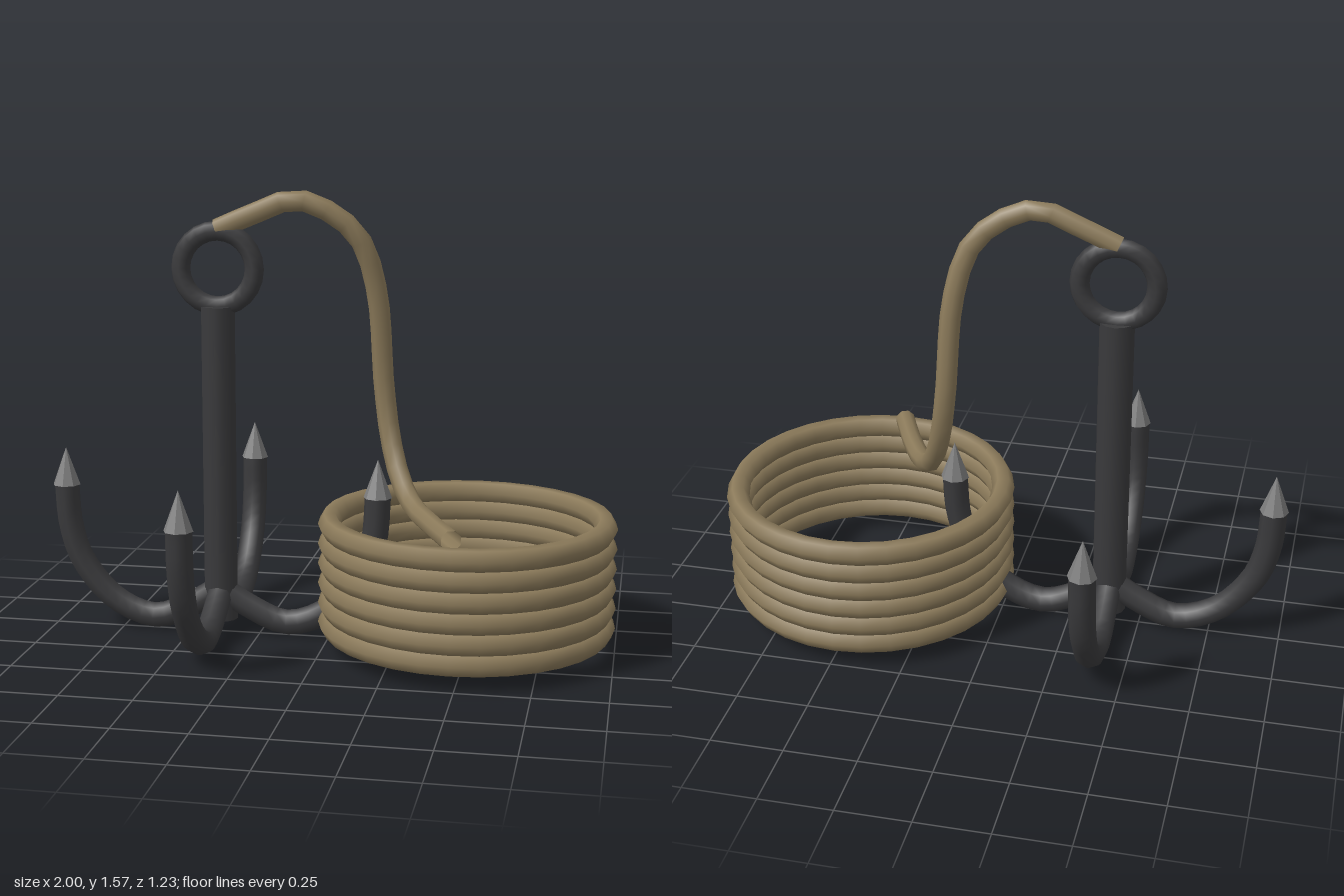
import * as THREE from 'three';

const iron = new THREE.MeshStandardMaterial({ name: 'dark iron', color: 0x3a3a3c });
const steel = new THREE.MeshStandardMaterial({ name: 'bare steel', color: 0x7c7c7c, flatShading: true });
const hemp = new THREE.MeshStandardMaterial({ name: 'hemp rope', color: 0x8b7a5a, side: THREE.DoubleSide });

function add(parent, name, geometry, material, x = 0, y = 0, z = 0) {
  const mesh = new THREE.Mesh(geometry, material);
  mesh.name = name;
  mesh.position.set(x, y, z);
  parent.add(mesh);
  return mesh;
}

const curve = (points) => new THREE.CatmullRomCurve3(points.map((p) => new THREE.Vector3(...p)));

export function createModel() {
  const model = new THREE.Group();
  model.name = 'grapplingHook';

  // Hook: shank, eye ring and four curved prongs with pointed tips
  const hook = new THREE.Group();
  hook.name = 'hook';
  hook.position.x = -0.39;
  model.add(hook);
  add(hook, 'shank', new THREE.CylinderGeometry(0.06, 0.06, 1.12, 12), iron, 0, 0.62, 0);
  add(hook, 'eyeRing', new THREE.TorusGeometry(0.13, 0.034, 8, 24), iron, 0, 1.31, 0);

  const prongPath = curve([
    [0, 0.17, 0], [0.1, 0.108, 0], [0.24, 0.055, 0], [0.39, 0.11, 0],
    [0.51, 0.25, 0], [0.552, 0.38, 0], [0.563, 0.53, 0],
  ]);
  const prongGeometry = new THREE.TubeGeometry(prongPath, 20, 0.046, 8);
  const tipGeometry = new THREE.ConeGeometry(0.05, 0.135, 8);
  for (let i = 0; i < 4; i++) {
    const prong = new THREE.Group();
    prong.name = 'prong' + (i + 1);
    prong.rotation.y = (i * Math.PI) / 2;
    hook.add(prong);
    add(prong, 'prongArm', prongGeometry, iron);
    add(prong, 'prongTip', tipGeometry, steel, 0.563, 0.592, 0);
  }

  // Coil: stacked rope loops
  const coil = new THREE.Group();
  coil.name = 'ropeCoil';
  coil.position.x = 0.485;
  model.add(coil);
  const loopGeometry = new THREE.TorusGeometry(0.475, 0.04, 6, 32).rotateX(Math.PI / 2);
  for (let i = 0; i < 6; i++) add(coil, 'ropeLoop' + (i + 1), loopGeometry, hemp, 0, 0.098 + i * 0.07, 0);

  // Loose rope running from the eye down to the coil
  const leadPath = curve([
    [-0.39, 1.445, 0], [-0.25, 1.505, 0], [-0.12, 1.55, 0], [0, 1.51, -0.01],
    [0.1, 1.42, -0.03], [0.155, 1.24, -0.065], [0.178, 0.9, -0.097], [0.205, 0.72, -0.075],
    [0.25, 0.59, -0.01], [0.31, 0.52, 0.09], [0.39, 0.5, 0.24], [0.48, 0.5, 0.44],
  ]);
  add(model, 'leadRope', new THREE.TubeGeometry(leadPath, 24, 0.036, 8), hemp);

  return model;
}
